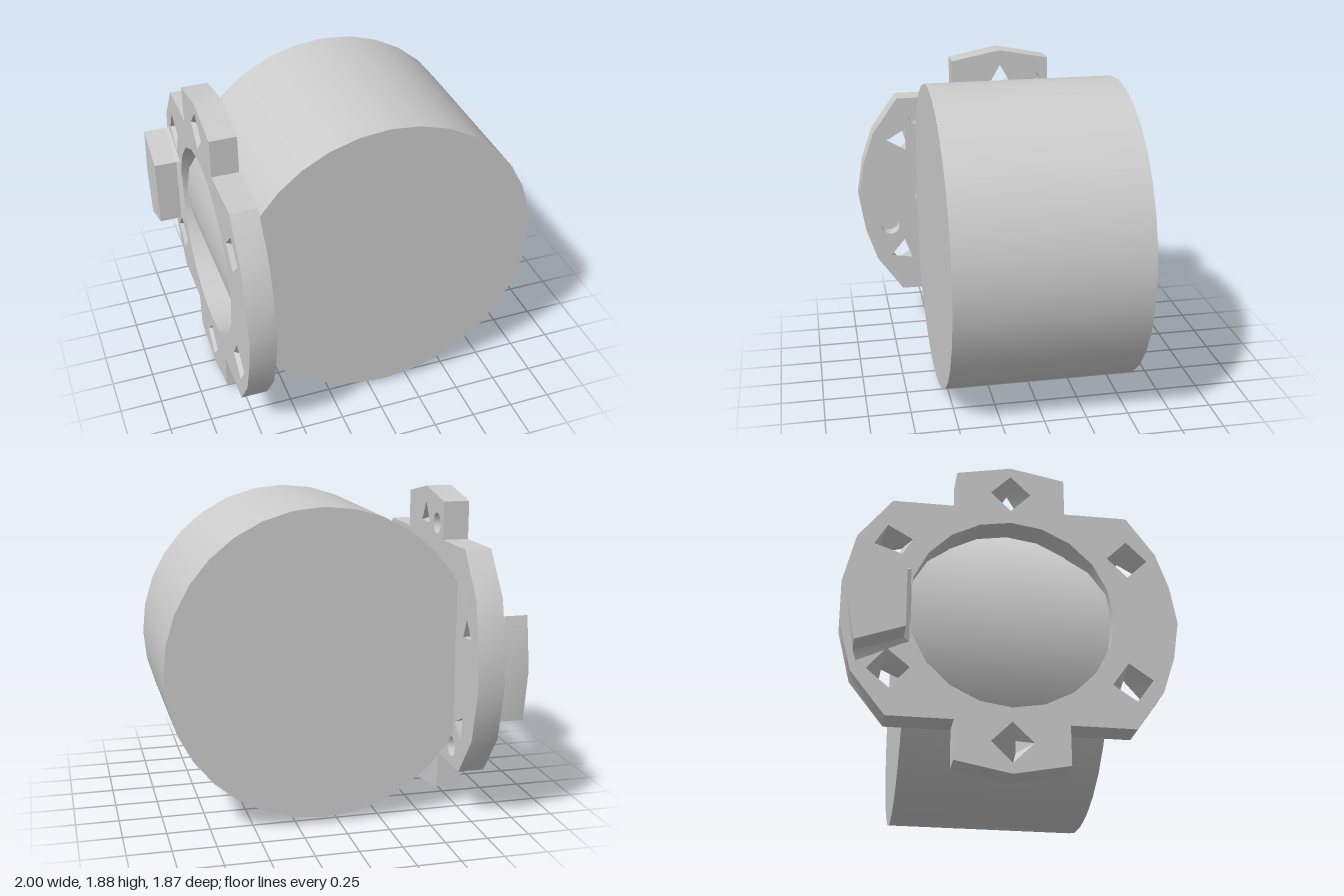
import * as THREE from 'three';
import { toCreasedNormals } from 'three/addons/utils/BufferGeometryUtils.js';

const CY = 0.945; // height of the common centre
const grey = new THREE.MeshStandardMaterial({ color: 0xcccccc });
grey.name = 'grey';

// Regular polygon in the (z, y) plane, y measured from the centre
const ngon = (cz, cy, r, n, turn = 0) => Array.from({ length: n }, (_, i) => {
  const a = turn + (i / n) * Math.PI * 2;
  return new THREE.Vector2(cz + r * Math.cos(a), cy + r * Math.sin(a));
});
const vecs = (list) => list.map(([z, y]) => new THREE.Vector2(z, y));
const rad = THREE.MathUtils.degToRad;

// Collects triangles of faces and walls lying across the x axis
class Builder {
  constructor() { this.pos = []; }
  tri(...pts) { for (const [x, p] of pts) this.pos.push(x, p.y + CY, p.x); }
  // Flat face at x; looks to -x, or to +x when flipped
  face(x, loop, holes = [], flip = false) {
    const all = [loop, ...holes].flat();
    const cw = holes.map((h) => h);
    for (const [a, b, c] of THREE.ShapeUtils.triangulateShape(loop, cw)) {
      const [A, B, C] = [all[a], all[b], all[c]];
      const area = (B.x - A.x) * (C.y - A.y) - (B.y - A.y) * (C.x - A.x);
      const order = (area > 0) === !flip ? [A, B, C] : [A, C, B];
      this.tri(...order.map((p) => [x, p]));
    }
  }
  // Wall from loop p at x0 to loop q at x1 > x0, facing outward or inward
  wall(x0, p, x1, q, inward = false) {
    p.forEach((a, i) => {
      const j = (i + 1) % p.length;
      const A = [x0, a], B = [x0, p[j]], C = [x1, q[j]], D = [x1, q[i]];
      if (inward) { this.tri(A, B, C); this.tri(A, C, D); }
      else { this.tri(A, C, B); this.tri(A, D, C); }
    });
  }
  mesh(name) {
    const g = new THREE.BufferGeometry();
    g.setAttribute('position', new THREE.Float32BufferAttribute(this.pos, 3));
    const m = new THREE.Mesh(toCreasedNormals(g, 0.45), grey);
    m.name = name;
    return m;
  }
}

function mountingPlate() {
  const X0 = -0.845, X1 = -0.69, FLOOR = -0.78, R = 0.765;
  const top = [[0.935, 0], [0.9, 0.22], [0.83, 0.43], [0.67, 0.655], [0.31, 0.655],
    [0.31, 0.88], [0, 0.94], [-0.31, 0.88], [-0.31, 0.655], [-0.67, 0.655],
    [-0.86, 0.41], [-0.93, 0.12]];
  const outline = vecs([...top, ...top.slice(1).reverse().map(([z, y]) => [z, -y])]);
  const bore = ngon(0, 0, 0.57, 20);
  const b = new Builder();
  const outerHoles = [bore], innerHoles = [bore];
  b.wall(X0, outline, X1, outline);
  b.wall(X0, bore, X1, bore, true);

  // Six tapered through sockets: four-sided outside, triangular inside
  const turns = [0, 90, -75, 5, 180, 100];
  turns.forEach((t, i) => {
    const a = rad(30 + i * 60), z = R * Math.cos(a), y = R * Math.sin(a);
    const wide = ngon(z, y, 0.115, 4, rad(t));
    const [p, q, r] = ngon(z, y, 0.08, 3, rad(t));
    const narrow = [p, q, q.clone().lerp(r, 0.5), r];
    outerHoles.push(wide);
    innerHoles.push(narrow);
    b.wall(X0, wide, X1, narrow, true);
  });

  // Six blind pockets on the inner side, two of them triangular
  for (let i = 0; i < 6; i++) {
    const deg = -15 + i * 60, a = rad(deg);
    const three = deg === 165 || deg === 285;
    const loop = ngon(R * Math.cos(a), R * Math.sin(a), three ? 0.07 : 0.062, three ? 3 : 16, rad(85));
    innerHoles.push(loop);
    b.wall(FLOOR, loop, X1, loop, true);
    b.face(FLOOR, loop, [], true);
  }
  b.face(X0, outline, outerHoles);
  b.face(X1, outline, innerHoles, true);
  return b.mesh('mountingPlate');
}

function sideLug() {
  // Five-sided block on a short flared foot
  const block = vecs([[-0.585, -0.21], [-0.585, 0.21], [-0.85, 0.305], [-0.9, 0], [-0.85, -0.305]]);
  const foot = vecs([[-0.55, -0.225], [-0.55, 0.225], [-0.83, 0.325], [-0.9, 0], [-0.83, -0.36]]);
  const b = new Builder();
  b.face(-1, block);
  b.wall(-1, block, -0.865, block);
  b.wall(-0.865, block, -0.842, foot);
  return b.mesh('sideLug');
}

export function createModel() {
  const model = new THREE.Group();
  model.name = 'drumWithMountingPlate';

  const drum = new THREE.Mesh(new THREE.CylinderGeometry(0.905, 0.905, 1.12, 32), grey);
  drum.name = 'drum';
  drum.rotation.x = Math.PI / 2;
  drum.position.set(0.092, CY, -0.005);

  model.add(drum, mountingPlate(), sideLug());
  return model;
}
